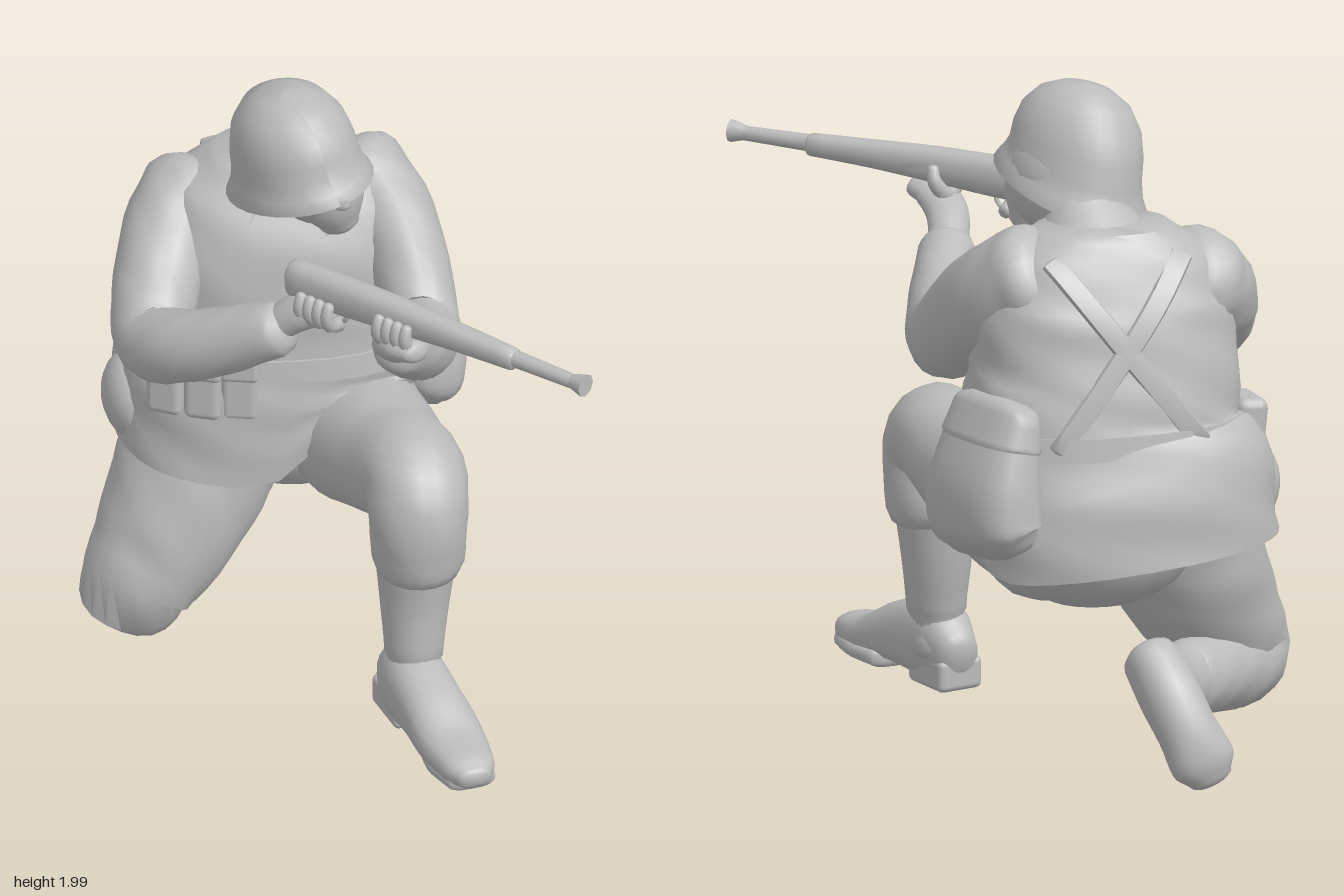
import * as THREE from 'three';
import { toCreasedNormals } from 'three/addons/utils/BufferGeometryUtils.js';
import { RoundedBoxGeometry } from 'three/addons/geometries/RoundedBoxGeometry.js';

const grey = new THREE.MeshStandardMaterial({ color: 0xbcbcbc });
grey.name = 'plain grey';
grey.side = THREE.DoubleSide;

function add(parent, name, geometry, pos = [0, 0, 0], rot = [0, 0, 0], scale = [1, 1, 1]) {
  const m = new THREE.Mesh(geometry, grey);
  m.name = name;
  m.position.set(...pos);
  m.rotation.set(...rot);
  m.scale.set(...scale);
  parent.add(m);
  return m;
}

// Smooth body through stations [x, y, z, halfWidth, halfDepth]
function loft(stations, { p = 2, round = true, fold = 0, sub = 4, sides = 20, ref = [1, 0, 0], warp } = {}) {
  const st = stations.map(s => [s[0], s[1], s[2], s[3], s[4] ?? s[3]]);
  const path = new THREE.CatmullRomCurve3(st.map(s => new THREE.Vector3(s[0], s[1], s[2])));
  const radii = new THREE.CatmullRomCurve3(st.map(s => new THREE.Vector3(s[3], s[4], 0)));
  const n = (st.length - 1) * sub, rings = [];
  for (let i = 0; i <= n; i++) {
    const t = path.getTangent(i / n), r = radii.getPoint(i / n);
    rings.push({ c: path.getPoint(i / n), t, a: r.x, b: r.y });
  }
  if (round) {
    const dome = (end, sign) => [0.4, 0.75, 0.95].map(k => ({
      c: end.c.clone().addScaledVector(end.t, sign * k * 0.6 * Math.min(end.a, end.b)),
      t: end.t, a: end.a * Math.sqrt(1 - k * k), b: end.b * Math.sqrt(1 - k * k) }));
    const first = dome(rings[0], -1).reverse(), last = dome(rings[n], 1);
    rings.unshift(...first);
    rings.push(...last);
  }
  const pos = [], idx = [], R = new THREE.Vector3(...ref);
  const pw = v => Math.sign(v) * Math.abs(v) ** (2 / p);
  rings.forEach(({ c, t, a, b }, i) => {
    const u = R.clone().addScaledVector(t, -R.dot(t)).normalize();
    const v = t.clone().cross(u);
    for (let j = 0; j < sides; j++) {
      const q = j / sides * Math.PI * 2;
      const k = 1 + fold * Math.sin(i * 1.3 + 2 * q) * Math.cos(3 * q + i * 0.4);
      const w = c.clone().addScaledVector(u, a * k * pw(Math.cos(q))).addScaledVector(v, b * k * pw(Math.sin(q)));
      if (warp) warp(w);
      pos.push(w.x, w.y, w.z);
    }
  });
  for (let i = 0; i < rings.length - 1; i++) for (let j = 0; j < sides; j++) {
    const k = (j + 1) % sides, A = i * sides, B = A + sides;
    idx.push(A + j, A + k, B + j, A + k, B + k, B + j);
  }
  const e = rings.length - 1, c0 = pos.length / 3;
  for (const r of [rings[0], rings[e]]) pos.push(r.c.x, r.c.y, r.c.z);
  for (let j = 0; j < sides; j++) {
    const k = (j + 1) % sides;
    idx.push(c0, k, j, c0 + 1, e * sides + j, e * sides + k);
  }
  const g = new THREE.BufferGeometry();
  g.setAttribute('position', new THREE.Float32BufferAttribute(pos, 3));
  g.setIndex(idx);
  return toCreasedNormals(g, 0.9);
}

// Jacket sections: x, y, z, half width, half depth
const TORSO = [
  [-0.12, 0.65, -0.475, 0.47, 0.37], [-0.1, 0.85, -0.465, 0.475, 0.36], [-0.07, 1.03, -0.445, 0.42, 0.32],
  [-0.08, 1.2, -0.43, 0.4, 0.3], [-0.08, 1.4, -0.42, 0.385, 0.27], [-0.08, 1.55, -0.43, 0.32, 0.2],
  [-0.08, 1.635, -0.43, 0.2, 0.14]];
const SQUARE = 2.5;

// The hem rides up over the raised thigh
function liftHem(w) {
  const f = THREE.MathUtils.smoothstep(w.x, -0.2, 0.18) * THREE.MathUtils.smoothstep(w.z, -0.75, -0.2);
  if (w.y < 1) w.y += (1 - w.y) * 0.75 * f;
}

// Point on the jacket's back
function backPoint(x, y) {
  let i = 0;
  while (i < TORSO.length - 2 && TORSO[i + 1][1] < y) i++;
  const f = (y - TORSO[i][1]) / (TORSO[i + 1][1] - TORSO[i][1]);
  const [cx, , cz, rx, rz] = TORSO[i].map((v, k) => v + (TORSO[i + 1][k] - v) * f);
  return [x, y, cz - rz * (1 - Math.abs((x - cx) / rx) ** SQUARE) ** (1 / SQUARE)];
}

function helmetGeometry() {
  const prof = [[0.001, 0], [0.35, 0.04], [0.62, 0.15], [0.8, 0.33], [0.88, 0.55], [0.9, 0.74], [0.95, 0.88], [1.04, 1], [0.98, 1.01], [0.8, 0.86]];
  const g = new THREE.LatheGeometry(prof.map(q => new THREE.Vector2(q[0], -q[1])).reverse(), 28);
  const p = g.attributes.position;
  for (let i = 0; i < p.count; i++) {
    const x = p.getX(i), z = p.getZ(i), y = p.getY(i);
    const front = z / (Math.hypot(x, z) + 1e-6);
    const brim = y < -0.85 ? 1 + 0.06 * Math.max(0, front) : 1;
    p.setXYZ(i, x * 0.205, y * (0.325 - 0.06 * front), z * 0.26 * brim);
  }
  g.computeVertexNormals();
  return g;
}

export function createModel() {
  const model = new THREE.Group();
  model.name = 'kneelingRifleman';
  const ball = new THREE.SphereGeometry(1, 20, 14);

  // Jacket, belt and crossed straps
  add(model, 'jacket', loft(TORSO, { p: SQUARE, fold: 0.018, round: false, sides: 32, warp: liftHem }));
  add(model, 'belt', loft([[-0.07, 1.0, -0.445, 0.43, 0.335], [-0.07, 1.07, -0.445, 0.42, 0.325]], { p: SQUARE, round: false, sides: 32 }));
  for (const s of [-1, 1]) {
    const pts = [];
    for (let i = 0; i <= 6; i++) pts.push([...backPoint(-0.08 + s * (0.2 - 0.42 * i / 6), 1.57 - 0.54 * i / 6), 0.034, 0.014]);
    add(model, 'backStrap', loft(pts, { sides: 8, p: 4, sub: 2 }));
  }
  add(model, 'collar', loft([[-0.07, 1.54, -0.36, 0.19, 0.16], [-0.06, 1.64, -0.3, 0.13, 0.12]], { round: false }));
  for (const s of [-1, 1]) {
    add(model, 'lapel', new RoundedBoxGeometry(0.12, 0.1, 0.03, 2, 0.012), [-0.06 + s * 0.08, 1.5, -0.215], [-0.5, 0, s * 0.5]);
  }
  for (const x of [-0.44, -0.335, -0.23]) {
    const z = -0.165 - 0.4 * Math.max(0, -x - 0.3), turn = (x + 0.1) * 1.4;
    add(model, 'ammoPouch', new RoundedBoxGeometry(0.115, 0.2, 0.1, 2, 0.025), [x, 0.97, z], [0, turn, 0]);
    add(model, 'pouchFlap', new RoundedBoxGeometry(0.12, 0.08, 0.11, 2, 0.02), [x, 1.045, z], [0, turn, 0]);
  }

  // Bag on the left hip, canteen and pouch on the right
  const slant = [1, 0, -0.3];
  add(model, 'hipBag', loft([[0.31, 0.745, -0.6, 0.09, 0.2], [0.33, 0.8, -0.6, 0.118, 0.23], [0.33, 0.9, -0.6, 0.118, 0.22], [0.305, 1.04, -0.585, 0.09, 0.2], [0.285, 1.13, -0.575, 0.065, 0.185]], { p: 2.8, ref: slant }));
  add(model, 'bagFlap', loft([[0.305, 1.04, -0.585, 0.096, 0.206], [0.285, 1.135, -0.575, 0.07, 0.19]], { p: 2.8, ref: slant }));
  add(model, 'canteen', ball, [-0.52, 0.8, -0.42], [0, 0, 0.1], [0.1, 0.14, 0.14]);
  add(model, 'hipPouch', new RoundedBoxGeometry(0.1, 0.16, 0.17, 2, 0.03), [-0.49, 1.02, -0.5], [0, 0.15, 0.1]);

  // Seat and raised left leg
  add(model, 'seat', ball, [-0.04, 0.72, -0.48], [0, 0, 0], [0.33, 0.24, 0.3]);
  add(model, 'leftTrouser', loft([[0.08, 0.71, -0.48, 0.23, 0.22], [0.13, 0.74, -0.25, 0.215, 0.22], [0.21, 0.79, 0, 0.175, 0.185],
    [0.255, 0.84, 0.18, 0.155, 0.155], [0.26, 0.77, 0.25, 0.15, 0.15], [0.26, 0.6, 0.235, 0.14, 0.15]], { fold: 0.015 }));
  add(model, 'leftGaiter', loft([[0.255, 0.62, 0.235, 0.125, 0.135], [0.25, 0.45, 0.24, 0.105, 0.115], [0.245, 0.28, 0.26, 0.088, 0.1], [0.24, 0.17, 0.25, 0.088, 0.1]]));
  add(model, 'leftBoot', loft([[0.21, 0.15, 0.17, 0.07, 0.09], [0.235, 0.18, 0.27, 0.095, 0.13], [0.285, 0.165, 0.42, 0.1, 0.1],
    [0.335, 0.125, 0.56, 0.1, 0.065], [0.37, 0.115, 0.68, 0.08, 0.05], [0.38, 0.11, 0.72, 0.055, 0.035]], { p: 2.4 }));
  add(model, 'leftSole', loft([[0.32, 0.085, 0.45, 0.085, 0.032], [0.345, 0.085, 0.57, 0.1, 0.032], [0.375, 0.085, 0.69, 0.075, 0.03]], { p: 3 }));
  add(model, 'leftHeel', new RoundedBoxGeometry(0.15, 0.1, 0.19, 2, 0.02), [0.225, 0.1, 0.235], [0, 0.3, 0]);

  // Kneeling right leg
  add(model, 'rightTrouser', loft([[-0.27, 0.72, -0.42, 0.25, 0.25], [-0.36, 0.55, -0.36, 0.24, 0.24], [-0.46, 0.36, -0.29, 0.205, 0.2],
    [-0.54, 0.235, -0.245, 0.165, 0.155], [-0.48, 0.22, -0.34, 0.14, 0.14], [-0.38, 0.24, -0.47, 0.125, 0.125], [-0.29, 0.25, -0.57, 0.105, 0.115]], { fold: 0.02 }));
  add(model, 'rightGaiter', loft([[-0.32, 0.245, -0.53, 0.105, 0.115], [-0.24, 0.27, -0.64, 0.09, 0.105], [-0.17, 0.33, -0.71, 0.085, 0.1]]));
  add(model, 'rightBoot', loft([[-0.145, 0.365, -0.72, 0.08, 0.095], [-0.18, 0.28, -0.8, 0.09, 0.1], [-0.22, 0.18, -0.865, 0.09, 0.085],
    [-0.26, 0.09, -0.895, 0.1, 0.068], [-0.28, 0.045, -0.9, 0.07, 0.05]], { p: 2.3 }));

  // Arms
  add(model, 'leftSleeve', loft([[0.15, 1.51, -0.48, 0.14, 0.16], [0.225, 1.43, -0.38, 0.135, 0.165], [0.285, 1.31, -0.2, 0.118, 0.15],
    [0.3, 1.21, -0.03, 0.112, 0.13], [0.265, 1.27, 0.13, 0.1, 0.11], [0.2, 1.37, 0.3, 0.085, 0.085]], { fold: 0.025 }));
  add(model, 'rightSleeve', loft([[-0.34, 1.46, -0.47, 0.16, 0.16], [-0.42, 1.39, -0.37, 0.145, 0.155], [-0.48, 1.28, -0.2, 0.13, 0.135],
    [-0.5, 1.21, -0.06, 0.115, 0.12], [-0.42, 1.26, 0.06, 0.11, 0.11], [-0.28, 1.34, 0.16, 0.1, 0.1], [-0.16, 1.41, 0.23, 0.085, 0.085]], { fold: 0.025 }));

  // Hands
  add(model, 'leftHand', loft([[0.195, 1.38, 0.31, 0.06, 0.055], [0.17, 1.45, 0.41, 0.065, 0.05], [0.185, 1.49, 0.5, 0.065, 0.042], [0.22, 1.505, 0.55, 0.05, 0.035]]));
  add(model, 'rightHand', loft([[-0.16, 1.42, 0.22, 0.055, 0.055], [-0.09, 1.48, 0.25, 0.055, 0.06], [-0.04, 1.5, 0.28, 0.045, 0.05]]));

  // Head and helmet, turned toward the sights
  add(model, 'neck', loft([[-0.07, 1.53, -0.37, 0.12], [-0.05, 1.68, -0.22, 0.115]]));
  const head = new THREE.Group();
  head.name = 'head';
  head.position.set(-0.02, 1.72, -0.19);
  head.rotation.set(-0.03, 0.38, 0.16, 'YXZ');
  model.add(head);
  add(head, 'skull', ball, [0, 0, 0.01], [0, 0, 0], [0.15, 0.18, 0.19]);
  add(head, 'jaw', loft([[0, 0, 0.07, 0.125, 0.13], [0.01, -0.09, 0.085, 0.105, 0.105], [0.02, -0.16, 0.09, 0.065, 0.07]]));
  add(head, 'nose', loft([[0, 0.02, 0.185, 0.016, 0.02], [0, -0.045, 0.2, 0.026, 0.026]], { sides: 8 }));
  add(head, 'helmet', helmetGeometry(), [-0.045, 0.285, 0.005]);

  // Rifle, built along +z and swung toward the left
  const rifle = new THREE.Group();
  rifle.name = 'rifle';
  rifle.position.set(-0.11, 1.575, 0.2);
  rifle.rotation.set(-0.005, 0.825, 0, 'YXZ');
  model.add(rifle);
  add(rifle, 'stock', loft([[0, -0.005, 0.01, 0.043, 0.062], [0, -0.002, 0.15, 0.045, 0.064], [0, 0.008, 0.4, 0.045, 0.055], [0, 0.012, 0.62, 0.04, 0.042], [0, 0.012, 0.82, 0.032, 0.034]], { p: 2.4 }));
  add(rifle, 'barrel', new THREE.CylinderGeometry(0.022, 0.028, 0.32, 12), [0, 0.016, 0.91], [Math.PI / 2, 0, 0]);
  add(rifle, 'muzzle', new THREE.CylinderGeometry(0.036, 0.022, 0.05, 8), [0, 0.018, 1.065], [Math.PI / 2, 0, 0]);
  add(rifle, 'triggerGuard', new THREE.TorusGeometry(0.035, 0.008, 6, 14), [0, -0.06, 0.17], [0, Math.PI / 2, 0]);

  // Fingers wrapped round the stock: [first finger position, lift]
  for (const [start, lift] of [[0.36, 0], [0.07, -0.03]]) {
    for (let i = 0; i < 4; i++) {
      const z = start + i * 0.034;
      add(rifle, 'finger', loft([[0, lift - 0.075, z, 0.024], [-0.045, lift - 0.06, z, 0.023], [-0.06, lift - 0.02, z, 0.02], [-0.05, lift + 0.01, z, 0.017]], { sides: 8, sub: 2, ref: [0, 0, 1] }));
    }
    add(rifle, 'thumb', loft([[0.02, lift - 0.08, start, 0.025], [0.055, lift - 0.03, start + 0.02, 0.022], [0.05, lift + 0.01, start + 0.03, 0.018]], { sides: 8, ref: [0, 0, 1] }));
  }
  return model;
}
